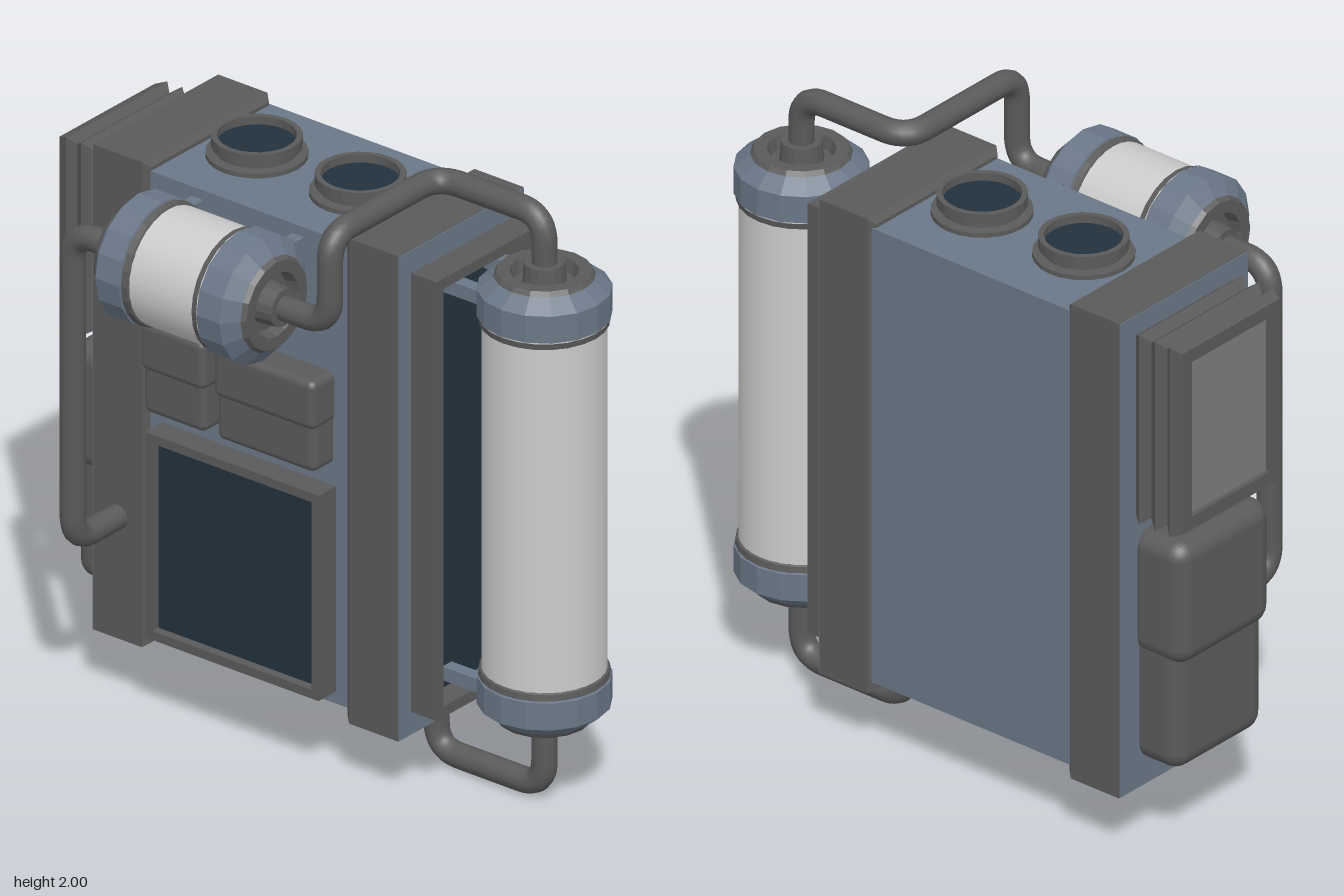
import * as THREE from 'three';
import { RoundedBoxGeometry } from 'three/addons/geometries/RoundedBoxGeometry.js';

const mat = (color, flatShading = false) =>
  new THREE.MeshStandardMaterial({ color, flatShading, side: THREE.DoubleSide });
const dark = mat(0x5a5a5a), darkFlat = mat(0x5a5a5a, true);
const blue = mat(0x6a7787, true), glass = mat(0x22323d, true);
const white = mat(0xcccccc), panelGrey = mat(0x7c7c7c, true);

// Rectangular cross-sections lofted along +x; each row is [x, half height, half depth]
function rectLoft(rows) {
  const rings = rows.map(([x, h, d]) => [[x, -h, -d], [x, h, -d], [x, h, d], [x, -h, d]]);
  const pos = [];
  const quad = (a, b, c, d) => pos.push(...a, ...b, ...c, ...a, ...c, ...d);
  for (let i = 0; i < rings.length - 1; i++)
    for (let k = 0; k < 4; k++) {
      const n = (k + 1) % 4;
      quad(rings[i][k], rings[i][n], rings[i + 1][n], rings[i + 1][k]);
    }
  const s = rings[0], e = rings[rings.length - 1];
  quad(s[3], s[2], s[1], s[0]);
  quad(e[0], e[1], e[2], e[3]);
  const g = new THREE.BufferGeometry();
  g.setAttribute('position', new THREE.Float32BufferAttribute(pos, 3));
  g.computeVertexNormals();
  return g;
}

const lathe = (pts, seg) =>
  new THREE.LatheGeometry(pts.map(([r, y]) => new THREE.Vector2(r, y)), seg);

// Tube along straight runs with rounded corners
function pipeGeometry(points, radius = 0.04, bend = 0.09) {
  const p = points.map(a => new THREE.Vector3(...a));
  const path = new THREE.CurvePath();
  let from = p[0];
  for (let i = 1; i < p.length - 1; i++) {
    const a = p[i].clone().add(p[i - 1].clone().sub(p[i]).setLength(bend));
    const b = p[i].clone().add(p[i + 1].clone().sub(p[i]).setLength(bend));
    path.add(new THREE.LineCurve3(from, a));
    path.add(new THREE.QuadraticBezierCurve3(a, p[i], b));
    from = b;
  }
  path.add(new THREE.LineCurve3(from, p[p.length - 1]));
  return new THREE.TubeGeometry(path, 90, radius, 12, false);
}

function add(parent, name, geometry, material, x = 0, y = 0, z = 0) {
  const m = new THREE.Mesh(geometry, material);
  m.name = name;
  m.position.set(x, y, z);
  parent.add(m);
  return m;
}
const box = (w, h, d) => new THREE.BoxGeometry(w, h, d);

// Gas tank along y, centred; L is half the length between its end rings
function makeTank(name, L) {
  const tank = new THREE.Group();
  tank.name = name;
  add(tank, 'tankBody', new THREE.CylinderGeometry(0.19, 0.19, 2 * L, 32, 1, true), white);
  for (const s of [1, -1]) {
    const end = new THREE.Group();
    end.name = s > 0 ? 'tankEndA' : 'tankEndB';
    if (s < 0) end.rotation.x = Math.PI;
    add(end, 'collar', lathe([[0.188, L - 0.025], [0.197, L - 0.02], [0.2, L]], 24), darkFlat);
    add(end, 'ring', lathe([[0.19, L], [0.205, L + 0.005], [0.205, L + 0.095], [0.155, L + 0.135]], 16), blue);
    add(end, 'cap', lathe([[0.155, L + 0.135], [0.145, L + 0.15], [0.105, L + 0.15],
      [0.095, L + 0.11], [0.068, L + 0.11], [0.062, L + 0.178], [0, L + 0.178]], 16), darkFlat);
    tank.add(end);
  }
  return tank;
}

export function createModel() {
  const model = new THREE.Group();
  model.name = 'lifeSupportPack';

  // Main body
  add(model, 'body', box(0.82, 1.56, 0.57), blue, -0.17, 1.03, -0.212);

  // Side bands with chamfered inner edges and plain side faces
  for (const s of [1, -1]) {
    const band = add(model, s > 0 ? 'leftBand' : 'rightBand',
      rectLoft([[-0.105, 0.797, 0.28], [-0.085, 0.815, 0.2975], [0.105, 0.815, 0.2975]]),
      darkFlat, s > 0 ? 0.315 : -0.655, 1.025, -0.2075);
    if (s < 0) band.rotation.y = Math.PI;
    add(model, 'bandSide', box(0.004, 1.626, 0.591), blue, s > 0 ? 0.421 : -0.761, 1.025, -0.2075);
  }

  // Recessed bay behind the tall tank
  add(model, 'bayFrame', rectLoft([[0.41, 0.737, 0.237], [0.52, 0.737, 0.237],
    [0.52, 0.702, 0.202], [0.43, 0.702, 0.202]]), darkFlat, 0, 1.025, -0.205);
  add(model, 'bayPanel', box(0.01, 1.4, 0.4), glass, 0.436, 1.025, -0.205);

  // Front screen
  const frame = add(model, 'screenFrame', rectLoft([[0, 0.345, 0.335], [0.085, 0.345, 0.335],
    [0.085, 0.315, 0.308], [0.05, 0.315, 0.308]]), darkFlat, -0.17, 0.635, 0.07);
  frame.rotation.y = -Math.PI / 2;
  add(model, 'screen', box(0.614, 0.628, 0.01), glass, -0.17, 0.635, 0.122);

  // Front pouches, each with a flap over its lower half
  for (const [x, w] of [[-0.388, 0.25], [-0.035, 0.39]]) {
    add(model, 'pouch', new RoundedBoxGeometry(w - 0.01, 0.29, 0.13, 3, 0.025), dark, x, 1.195, 0.1);
    add(model, 'pouchFlap', new RoundedBoxGeometry(w, 0.165, 0.14, 3, 0.025), dark, x, 1.278, 0.105);
  }

  // Side bag
  add(model, 'sideBag', new RoundedBoxGeometry(0.2, 0.72, 0.41, 3, 0.06), dark, -0.815, 0.66, -0.21);
  add(model, 'sideBagFlap', new RoundedBoxGeometry(0.22, 0.42, 0.43, 3, 0.06), dark, -0.828, 0.88, -0.21);

  // Ribbed side vent
  const rows = [];
  for (let i = 0; i < 6; i++) {
    const inset = i % 2 ? 0 : 0.022;
    rows.push([i * 0.0315, 0.325 - inset, 0.24 - inset]);
  }
  rows.push([0.19, 0.31, 0.225], [0.19, 0.265, 0.18], [0.17, 0.265, 0.18]);
  rows[5][0] = 0.152;
  const vent = add(model, 'sideVent', rectLoft(rows), darkFlat, -0.76, 1.465, -0.21);
  vent.rotation.y = Math.PI;
  add(model, 'ventPanel', box(0.006, 0.53, 0.36), panelGrey, -0.932, 1.465, -0.21);

  // Round top vents
  for (const x of [-0.37, 0.03]) {
    add(model, 'topVent', lathe([[0.155, 1.8], [0.155, 1.825], [0.125, 1.828], [0.125, 1.838],
      [0.138, 1.845], [0.138, 1.88], [0.12, 1.88], [0.12, 1.85]], 24), darkFlat, x, 0, -0.21);
    const disc = add(model, 'topVentGlass', new THREE.CircleGeometry(0.122, 24), glass, x, 1.853, -0.21);
    disc.rotation.x = -Math.PI / 2;
  }

  // Tall side tank and its brackets
  const tall = makeTank('tallTank', 0.6);
  tall.position.set(0.737, 1.027, -0.215);
  model.add(tall);
  for (const y of [0.375, 1.68])
    for (const z of [-0.315, -0.115])
      add(model, 'tallTankBracket', box(0.2, 0.045, 0.045), blue, 0.53, y, z);

  // Small front tank and its brackets
  const small = makeTank('frontTank', 0.145);
  small.rotation.z = -Math.PI / 2;
  small.position.set(-0.175, 1.662, 0.297);
  model.add(small);
  for (const x of [-0.37, 0.02])
    for (const y of [1.57, 1.755])
      add(model, 'frontTankBracket', box(0.045, 0.045, 0.14), blue, x, y, 0.115);

  // Pipes
  add(model, 'frontPipe', pipeGeometry([[-0.665, 0.62, 0.06], [-0.665, 0.62, 0.302],
    [-0.665, 1.662, 0.302], [-0.47, 1.662, 0.302]]), dark);
  add(model, 'upperPipe', pipeGeometry([[0.12, 1.662, 0.297], [0.325, 1.662, 0.297], [0.325, 1.96, 0.297],
    [0.325, 1.96, -0.215], [0.737, 1.96, -0.215], [0.737, 1.77, -0.215]]), dark);
  add(model, 'lowerPipe', pipeGeometry([[0.737, 0.28, -0.215], [0.737, 0.04, -0.215],
    [0.32, 0.04, -0.215], [0.32, 0.25, -0.215]]), dark);

  return model;
}
